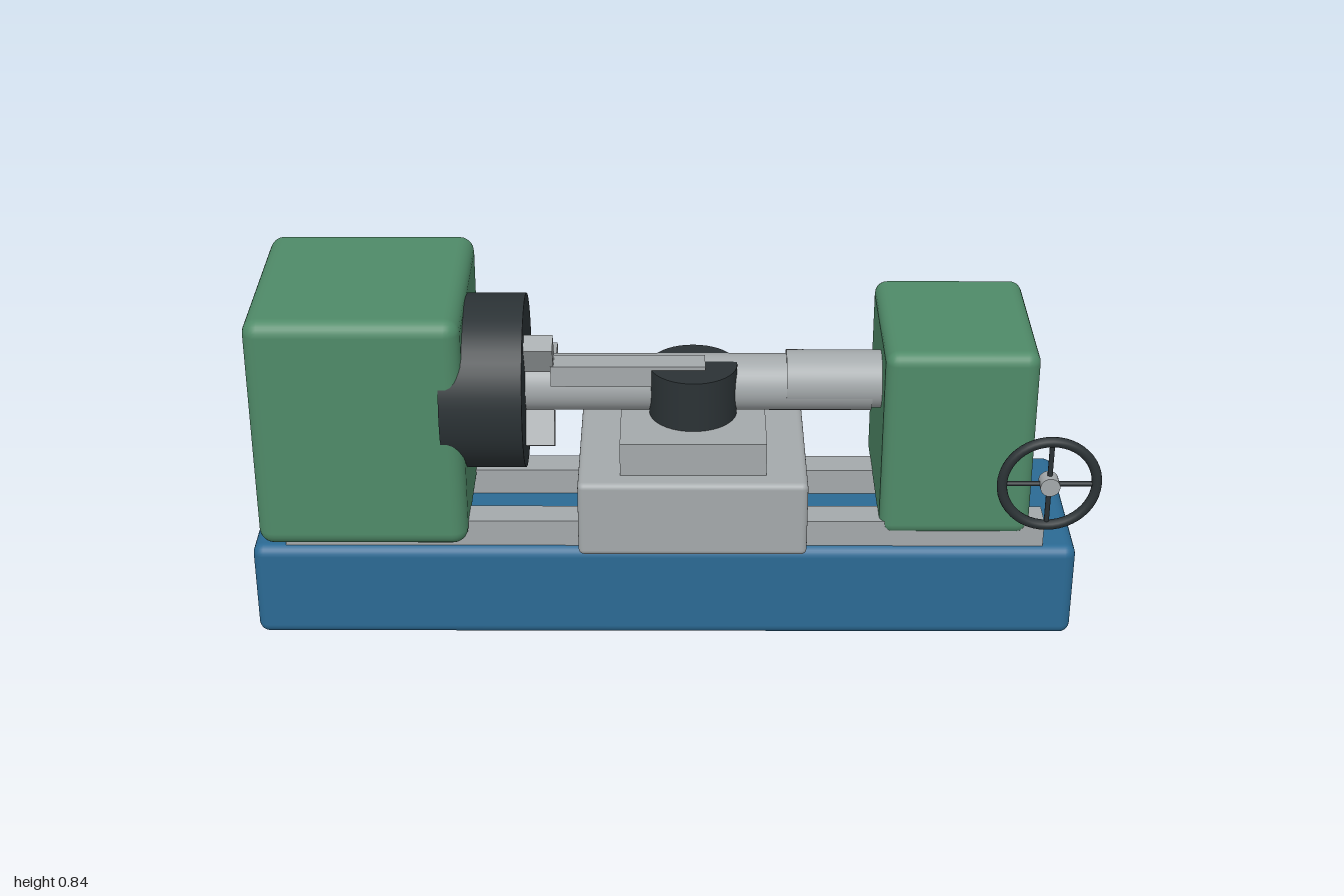
import * as THREE from 'three';
import { RoundedBoxGeometry } from 'three/addons/geometries/RoundedBoxGeometry.js';

const mat = (name, color) => {
  const m = new THREE.MeshStandardMaterial({ color });
  m.name = name;
  return m;
};

export function createModel() {
  const root = new THREE.Group();
  root.name = 'lathe';
  const blue = mat('bluePaint', 0x2b6a94);
  const green = mat('greenPaint', 0x4f8a68);
  const steel = mat('steel', 0xa4a9ab);
  const dark = mat('darkIron', 0x2b3235);

  const add = (name, geometry, material, parent = root) => {
    const mesh = new THREE.Mesh(geometry, material);
    mesh.name = name;
    parent.add(mesh);
    return mesh;
  };
  // Box given by its [min, max] on each axis; r rounds the edges
  const box = (name, material, [x0, x1], [y0, y1], [z0, z1], r = 0) => {
    const size = [x1 - x0, y1 - y0, z1 - z0];
    const geo = r ? new RoundedBoxGeometry(...size, 3, r) : new THREE.BoxGeometry(...size);
    add(name, geo, material).position.set((x0 + x1) / 2, (y0 + y1) / 2, (z0 + z1) / 2);
  };
  // Cylinder lying along x
  const rod = (name, material, x0, x1, y, z, r) => {
    const geo = new THREE.CylinderGeometry(r, r, x1 - x0, 48).rotateZ(Math.PI / 2);
    add(name, geo, material).position.set((x0 + x1) / 2, y, z);
  };

  // Bed and slideways
  box('bed', blue, [-1, 0.96], [0, 0.242], [-0.26, 0.207], 0.026);
  box('frontRail', steel, [-0.92, 0.88], [0.23, 0.307], [0.116, 0.189]);
  box('backRail', steel, [-0.92, 0.88], [0.23, 0.307], [-0.133, -0.06]);

  // Headstock and tailstock housings
  box('headstock', green, [-0.977, -0.483], [0.259, 0.842], [-0.288, 0.233], 0.036);
  box('tailstock', green, [0.49, 0.845], [0.27, 0.747], [-0.237, 0.195], 0.03);

  // Chuck with three radial jaws
  const axisY = 0.606, axisZ = 0.04;
  rod('chuck', dark, -0.536, -0.345, axisY, axisZ, 0.206);
  for (let i = 0; i < 3; i++) {
    const a = Math.PI / 3 + (i * Math.PI * 2) / 3;
    const jaw = add('chuckJaw', new THREE.BoxGeometry(0.085, 0.046, 0.084), steel);
    jaw.position.set(-0.3205, axisY + 0.113 * Math.sin(a), axisZ + 0.113 * Math.cos(a));
    jaw.rotation.x = -a;
  }

  // Workpiece and tailstock quill
  rod('workpiece', steel, -0.36, 0.468, 0.603, axisZ, 0.067);
  rod('quill', steel, 0.267, 0.52, 0.611, axisZ, 0.069);

  // Carriage, cross slide, tool post and cutting tool
  box('carriage', steel, [-0.22, 0.314], [0.27, 0.46], [-0.21, 0.287], 0.014);
  box('crossSlide', steel, [-0.122, 0.218], [0.45, 0.542], [-0.088, 0.24]);
  add('toolPost', new THREE.CylinderGeometry(0.103, 0.103, 0.132, 40), dark)
    .position.set(0.048, 0.6, 0.075);
  box('cuttingTool', steel, [-0.285, 0.076], [0.623, 0.675], [0.045, 0.108]);

  // Handwheel
  const wheel = new THREE.Group();
  wheel.name = 'handwheel';
  wheel.position.set(0.875, 0.44, 0.241);
  root.add(wheel);
  add('wheelRim', new THREE.TorusGeometry(0.11, 0.012, 12, 48), dark, wheel);
  for (let i = 0; i < 2; i++) {
    const spoke = add('wheelSpoke', new THREE.CylinderGeometry(0.006, 0.006, 0.22, 10), dark, wheel);
    spoke.rotation.z = (i * Math.PI) / 2;
  }
  add('wheelHub', new THREE.CylinderGeometry(0.023, 0.023, 0.04, 24).rotateX(Math.PI / 2), steel, wheel);

  return root;
}
